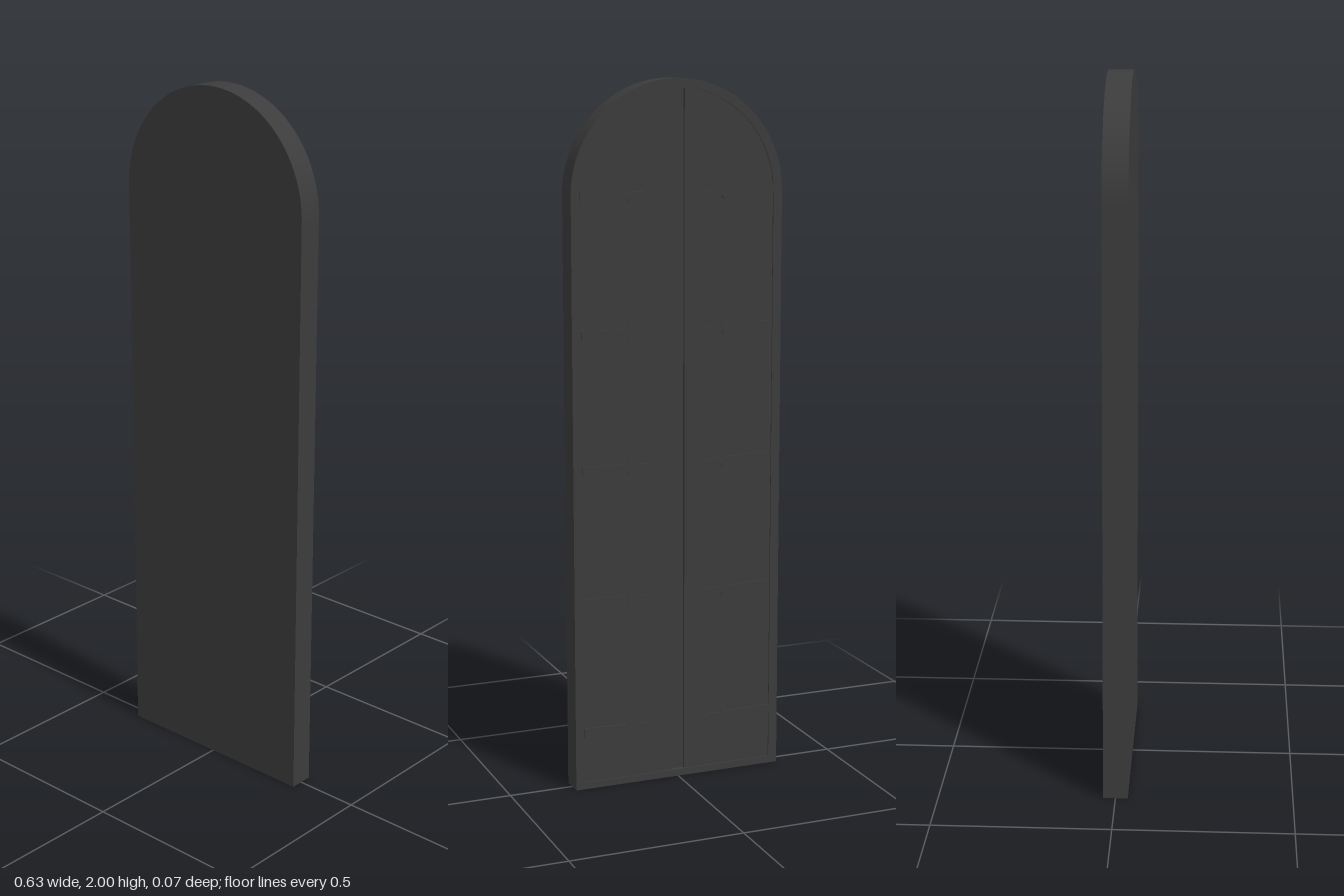
import * as THREE from 'three';

const SPRING = 1.686; // height where the round arch begins
const HALF = 0.314;

// Arched outline inset evenly from the door edge
function archPath(path, inset, bottom) {
  const r = HALF - inset;
  path.moveTo(-r, bottom);
  path.lineTo(r, bottom);
  path.lineTo(r, SPRING);
  path.absarc(0, SPRING, r, 0, Math.PI, false);
  path.lineTo(-r, bottom);
  return path;
}

// One door leaf: half of the inset arch, stopping short of the middle groove
function leafShape(inset, bottom, gap) {
  const r = HALF - inset;
  const s = new THREE.Shape();
  s.moveTo(gap, bottom);
  s.lineTo(r, bottom);
  s.lineTo(r, SPRING);
  s.absarc(0, SPRING, r, 0, Math.acos(gap / r), false);
  s.lineTo(gap, bottom);
  return s;
}

// Strap hinge outline with a small cross and a pointed tip
function strapShape() {
  const upper = [[0.287, 0.014], [0.155, 0.010], [0.148, 0.020], [0.138, 0.020],
    [0.131, 0.009], [0.1, 0.008], [0.077, 0]];
  const lower = upper.slice(0, -1).reverse().map(([x, y]) => [x, -y]);
  return new THREE.Shape([...upper, ...lower].map(([x, y]) => new THREE.Vector2(x, y)));
}

export function createModel() {
  const model = new THREE.Group();
  model.name = 'archedDoor';
  const material = new THREE.MeshStandardMaterial({ color: 0x3c3c3c });

  // Extrude a shape between two depths
  function slab(name, shape, z0, z1, parent = model) {
    const geo = new THREE.ExtrudeGeometry(shape, {
      depth: z1 - z0, bevelEnabled: false, curveSegments: 40,
    });
    geo.translate(0, 0, z0);
    const mesh = new THREE.Mesh(geo, material);
    mesh.name = name;
    parent.add(mesh);
    return mesh;
  }

  // Plain front panel
  slab('doorPanel', archPath(new THREE.Shape(), 0, 0), -0.022, 0.035);

  // Raised rim around the back
  const rim = archPath(new THREE.Shape(), 0, 0);
  rim.holes.push(archPath(new THREE.Path(), 0.026, 0.02));
  slab('backRim', rim, -0.035, -0.022);

  // Two leaves and their strap hinges, mirrored about the middle groove
  const strap = strapShape();
  for (const side of [1, -1]) {
    const half = new THREE.Group();
    half.name = side > 0 ? 'leftLeaf' : 'rightLeaf';
    const mirror = (s) => new THREE.Shape(
      s.getPoints(40).map((p) => new THREE.Vector2(p.x * side, p.y)));
    slab('leafBoard', mirror(leafShape(0.026, 0.02, 0.02)), -0.031, -0.022, half);
    for (let i = 0; i < 5; i++) {
      const hinge = slab('strapHinge', mirror(strap), -0.035, -0.031, half);
      hinge.position.y = 0.168 + i * 0.38;
    }
    model.add(half);
  }
  return model;
}
